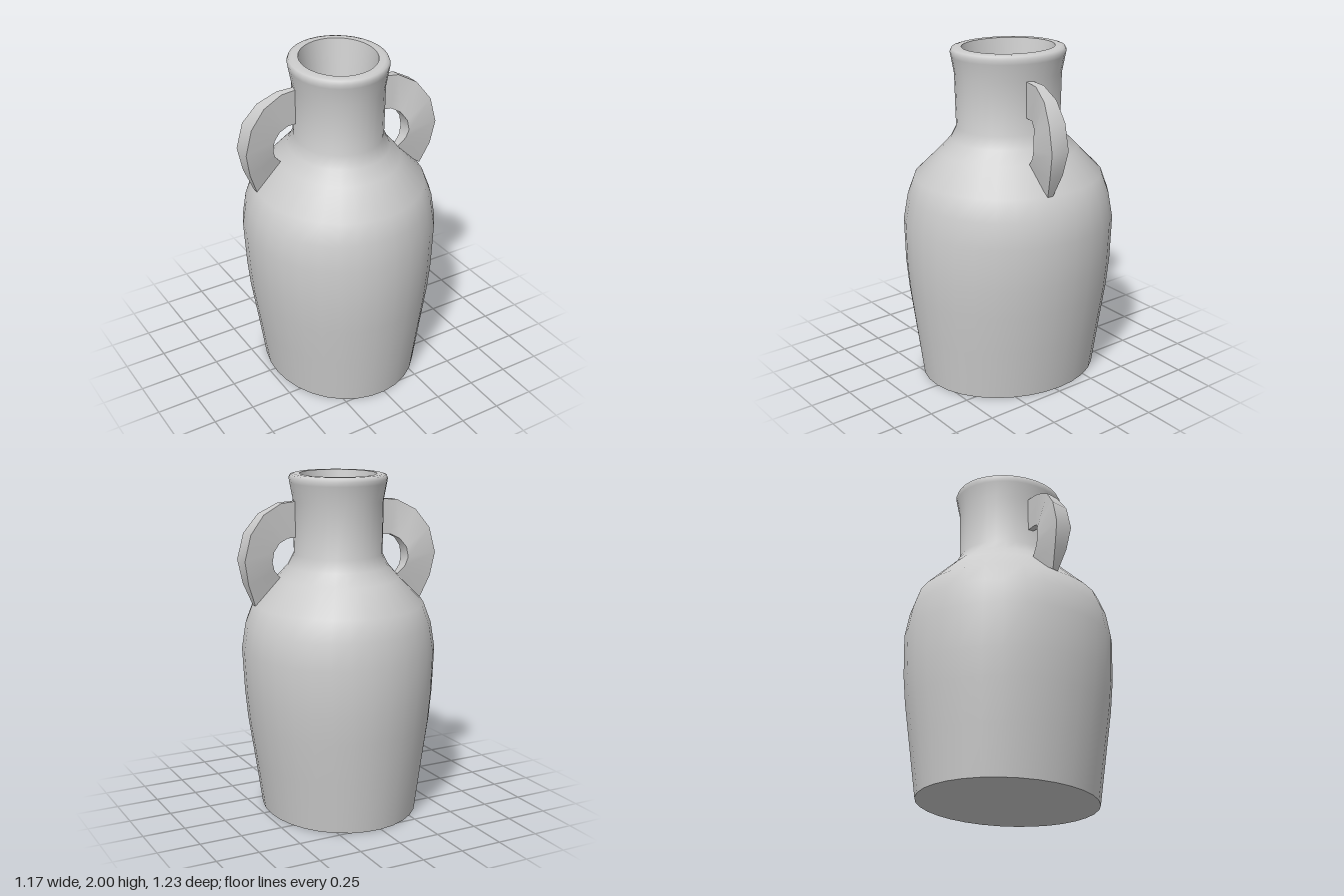
import * as THREE from 'three';
import { toCreasedNormals } from 'three/addons/utils/BufferGeometryUtils.js';

const material = new THREE.MeshStandardMaterial({ color: 0xcccccc });

// Skin a list of closed rings (each an array of [x, y, z])
function loft(rings) {
  const n = rings[0].length;
  const index = [];
  for (let i = 0; i < rings.length - 1; i++) {
    for (let j = 0; j < n; j++) {
      const k = (j + 1) % n;
      const a = i * n + j, b = i * n + k, c = b + n, d = a + n;
      index.push(a, b, c, a, c, d);
    }
  }
  const geometry = new THREE.BufferGeometry();
  geometry.setAttribute('position', new THREE.Float32BufferAttribute(rings.flat(2), 3));
  geometry.setIndex(index);
  return toCreasedNormals(geometry, 0.95);
}

// Slightly skewed oval ring
function oval([rx, rz, y, skew]) {
  const sides = 32;
  return Array.from({ length: sides }, (_, j) => {
    const t = (j / sides) * Math.PI * 2;
    const x = rx * Math.cos(t);
    return [x, y, -rz * Math.sin(t) - skew * x];
  });
}

function createBody() {
  // x radius, z radius, height, skew: base, wall, shoulder, neck, lip, then down the inside
  const profile = [
    [0, 0, 0, 0.07],
    [0.465, 0.537, 0, 0.07],
    [0.51, 0.572, 0.3, 0.07],
    [0.55, 0.6, 0.55, 0.07],
    [0.567, 0.613, 0.72, 0.07],
    [0.583, 0.613, 0.98, 0.07],
    [0.56, 0.585, 1.13, 0.07],
    [0.51, 0.548, 1.25, 0.07],
    [0.36, 0.405, 1.4, 0.08],
    [0.3, 0.335, 1.47, 0.1],
    [0.265, 0.3, 1.54, 0.12],
    [0.268, 0.308, 1.85, 0.12],
    [0.29, 0.322, 1.95, 0.12],
    [0.294, 0.328, 1.975, 0.12],
    [0.285, 0.32, 1.994, 0.12],
    [0.265, 0.3, 2, 0.12],
    [0.23, 0.262, 2, 0.15],
    [0.14, 0.155, 1.4, 0.1],
  ];
  const body = new THREE.Mesh(loft(profile.map(oval)), material);
  body.name = 'body';
  return body;
}

function createHandleGeometry() {
  // outer x, outer y, inner x, inner y, back z, front z
  const sections = [
    [0.22, 1.85, 0.22, 1.64, 0.03, 0.065],
    [0.35, 1.84, 0.31, 1.637, 0.025, 0.08],
    [0.46, 1.78, 0.36, 1.61, 0.025, 0.11],
    [0.54, 1.67, 0.392, 1.56, 0.028, 0.14],
    [0.577, 1.52, 0.4, 1.5, 0.032, 0.148],
    [0.55, 1.38, 0.383, 1.45, 0.048, 0.138],
    [0.5, 1.25, 0.32, 1.38, 0.072, 0.11],
  ];
  return loft(sections.map(([ox, oy, ix, iy, z0, z1]) => {
    const inset = (z1 - z0) * 0.12;
    return [[ox, oy, z0], [ox, oy, z1], [ix, iy, z1 - inset], [ix, iy, z0 + inset]];
  }));
}

export function createModel() {
  const model = new THREE.Group();
  model.name = 'jug';
  model.add(createBody());

  // Two handles, half a turn apart
  const geometry = createHandleGeometry();
  ['leftHandle', 'rightHandle'].forEach((name, i) => {
    const handle = new THREE.Mesh(geometry, material);
    handle.name = name;
    handle.rotation.y = i * Math.PI;
    model.add(handle);
  });
  return model;
}
